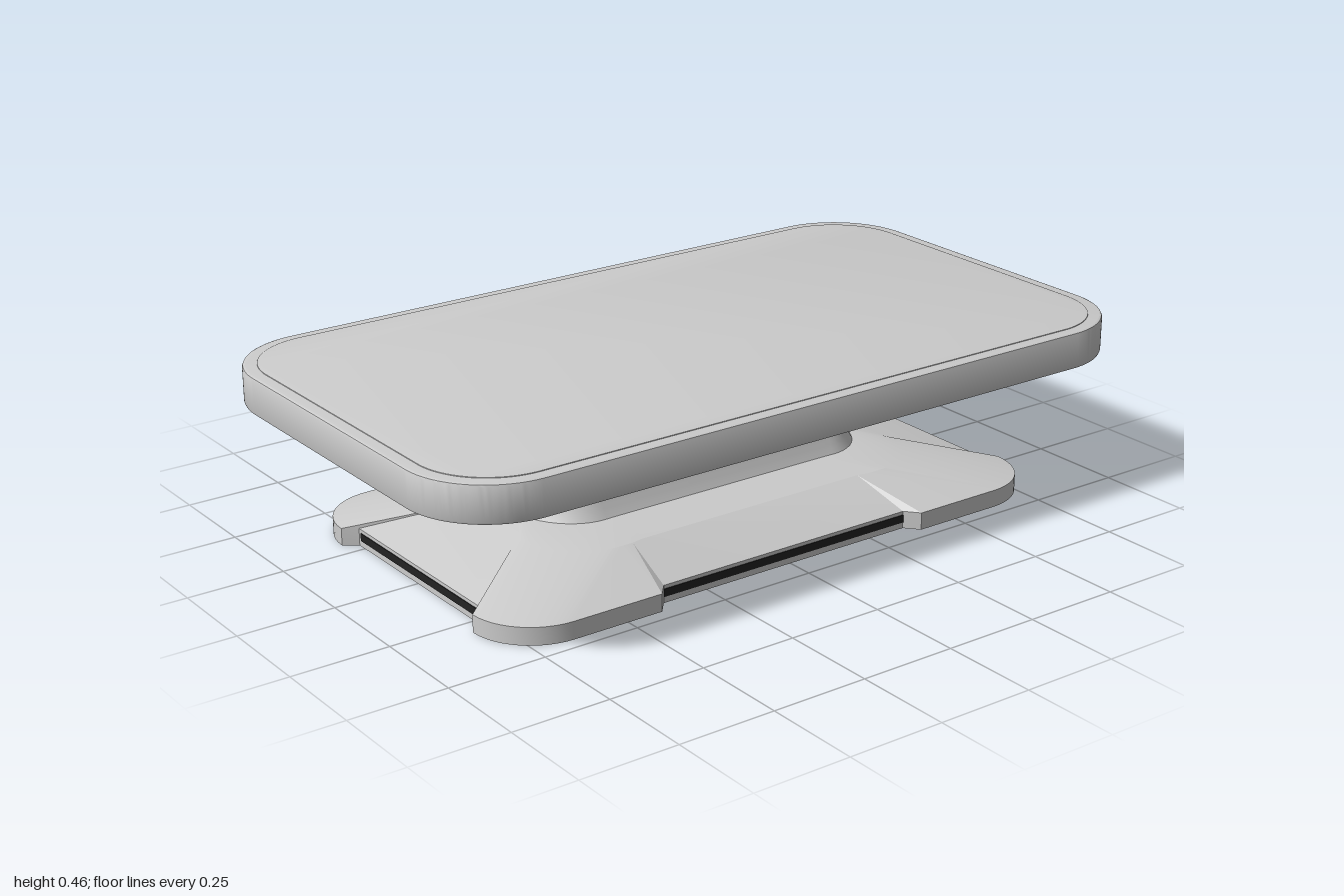
import * as THREE from 'three';
import { mergeGeometries, toCreasedNormals } from 'three/addons/utils/BufferGeometryUtils.js';

const grey = new THREE.MeshStandardMaterial({ color: 0xcccccc });
const dark = new THREE.MeshStandardMaterial({ color: 0x222222 });
const V = (x, y, z) => new THREE.Vector3(x, y, z);

// Skin a surface over rows of points, optionally closed around and capped at both ends
function skin(rows, closed = true, capped = false) {
  const pos = [];
  const tri = (...pts) => pts.forEach((p) => pos.push(p.x, p.y, p.z));
  const n = rows[0].length;
  for (let j = 0; j < rows.length - 1; j++) {
    for (let i = 0; i < (closed ? n : n - 1); i++) {
      const k = (i + 1) % n;
      tri(rows[j][i], rows[j + 1][i], rows[j + 1][k]);
      tri(rows[j][i], rows[j + 1][k], rows[j][k]);
    }
  }
  if (capped) {
    const lo = rows[0], hi = rows[rows.length - 1];
    for (let i = 0; i < n; i++) {
      const k = (i + 1) % n;
      tri(V(0, lo[0].y, 0), lo[i], lo[k]);
      tri(V(0, hi[0].y, 0), hi[k], hi[i]);
    }
  }
  const g = new THREE.BufferGeometry();
  g.setAttribute('position', new THREE.Float32BufferAttribute(pos, 3));
  return g;
}

function addMesh(parent, name, geometry, material = grey) {
  const m = new THREE.Mesh(geometry, material);
  m.name = name;
  parent.add(m);
  return m;
}

// Horizontal rounded slab with a small bevel, from y0 to y1
function slab(hx, hz, r, y0, y1, bevel) {
  const x = hx - bevel, z = hz - bevel, q = r - bevel;
  const s = new THREE.Shape();
  s.absarc(x - q, z - q, q, 0, Math.PI / 2);
  s.absarc(-x + q, z - q, q, Math.PI / 2, Math.PI);
  s.absarc(-x + q, -z + q, q, Math.PI, Math.PI * 1.5);
  s.absarc(x - q, -z + q, q, Math.PI * 1.5, Math.PI * 2);
  s.closePath();
  const g = new THREE.ExtrudeGeometry(s, {
    depth: y1 - y0 - 2 * bevel, bevelSize: bevel, bevelThickness: bevel, bevelSegments: 2, curveSegments: 20,
  });
  g.rotateX(-Math.PI / 2).translate(0, y0 + bevel, 0);
  return toCreasedNormals(g, 0.6);
}

// Base outline: rounded rectangle with a shallow notch in the middle of each side
function baseRing(y, X, Z, r, nx, nz, d) {
  const q = [[X - d, nz - 0.025], [X, nz]];
  for (let i = 0; i <= 12; i++) {
    const a = (i / 12) * Math.PI / 2;
    q.push([X - r + r * Math.cos(a), Z - r + r * Math.sin(a)]);
  }
  q.push([nx, Z], [nx - 0.03, Z - d]);
  const rev = [...q].reverse();
  return [
    ...q.map(([x, z]) => V(x, y, z)), ...rev.map(([x, z]) => V(-x, y, z)),
    ...q.map(([x, z]) => V(-x, y, -z)), ...rev.map(([x, z]) => V(x, y, -z)),
  ];
}

// Waisted neck: half depth and half width at each height
const waist = (y) => Math.abs((y - 0.24) / 0.126);
const neckZ = (y) => 0.135 + 0.044 * waist(y) ** 1.6;
const neckX = (y) => 0.47 + 0.03 * waist(y) ** 2;

// One rounded end of the neck's cross-section, starting at x = inner
function neckEnd(y, inner, sign = 1) {
  const hz = neckZ(y), e = hz * 0.85, c = neckX(y) - e;
  const pts = [V(inner, y, -hz)];
  for (let i = 0; i <= 24; i++) {
    const a = -Math.PI / 2 + (i / 24) * Math.PI;
    pts.push(V(c + e * Math.cos(a), y, hz * Math.sin(a)));
  }
  pts.push(V(inner, y, hz));
  return pts.map((p) => V(p.x * sign, y, p.z * sign));
}

export function createModel() {
  const model = new THREE.Group();
  model.name = 'pedestalStand';

  // Top plate with an inset panel
  const top = new THREE.Group();
  top.name = 'top';
  model.add(top);
  addMesh(top, 'topPlate', slab(1, 0.568, 0.22, 0.366, 0.461, 0.007));
  addMesh(top, 'topPanel', slab(0.965, 0.535, 0.19, 0.455, 0.463, 0.001));

  const stand = new THREE.Group();
  stand.name = 'stand';
  stand.position.x = -0.01;
  model.add(stand);

  // Base: notched rim sloping up to the foot of the neck
  const base = skin([
    baseRing(0, 0.803, 0.465, 0.165, 0.395, 0.3, 0.035),
    baseRing(0.045, 0.803, 0.465, 0.165, 0.395, 0.3, 0.035),
    baseRing(0.105, 0.56, 0.3, 0.165, 0.36, 0.135, 0.006),
    baseRing(0.12, 0.47, 0.17, 0.16, 0.3, 0.01, 0),
  ], true, true);
  addMesh(stand, 'base', toCreasedNormals(base, 0.2));

  // Dark strips in the four notches
  for (const s of [1, -1]) {
    addMesh(stand, 'longStrip', new THREE.BoxGeometry(0.73, 0.02, 0.01), dark)
      .position.set(0, 0.026, s * 0.427);
    addMesh(stand, 'shortStrip', new THREE.BoxGeometry(0.01, 0.02, 0.53), dark)
      .position.set(s * 0.765, 0.026, 0);
  }

  // Neck: solid below and above the slot, two posts beside it
  const slotY = 0.2525, slotR = 0.0775, slotX = 0.35 - slotR, steps = 20;
  const fullRing = (y) => [...neckEnd(y, 0), ...neckEnd(y, 0, -1)];
  const span = (a, b) => Array.from({ length: 9 }, (_, i) => a + (b - a) * i / 8);
  const parts = [
    skin(span(0.108, slotY - slotR).map(fullRing)),
    skin(span(slotY + slotR, 0.367).map(fullRing)),
  ];
  const angles = Array.from({ length: steps + 1 }, (_, i) => -Math.PI / 2 + Math.PI * i / steps);
  for (const s of [1, -1]) {
    parts.push(skin(angles.map((a) =>
      neckEnd(slotY + slotR * Math.sin(a), slotX + slotR * Math.cos(a), s)), false));
  }
  addMesh(stand, 'neck', toCreasedNormals(mergeGeometries(parts), 0.6));

  // Dark lining of the slot through the neck
  const lining = (side) => [1, -1].flatMap((s) => angles.map((a) => {
    const y = slotY + s * slotR * Math.sin(a);
    return V(s * (slotX + slotR * Math.cos(a)), y, side * neckZ(y));
  }));
  addMesh(stand, 'slotLining', toCreasedNormals(skin([lining(-1), lining(1)]), 0.6), dark);

  return model;
}
